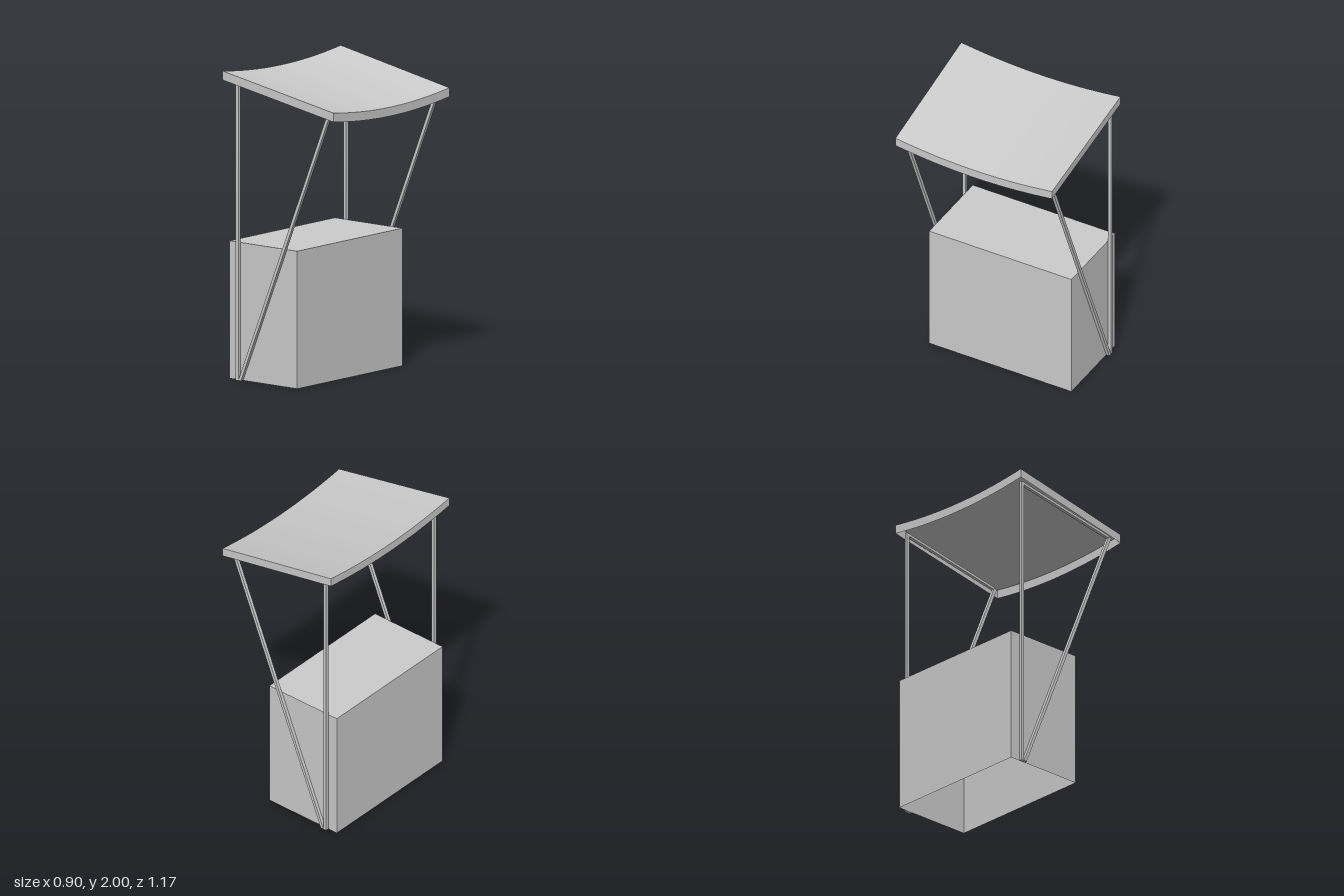
import * as THREE from 'three';
import { ParametricGeometry } from 'three/addons/geometries/ParametricGeometry.js';

const material = new THREE.MeshStandardMaterial({ color: 0xcccccc, side: THREE.DoubleSide });
const lerp = THREE.MathUtils.lerp;

function addMesh(parent, name, geometry) {
  const mesh = new THREE.Mesh(geometry, material);
  mesh.name = name;
  parent.add(mesh);
  return mesh;
}

// Point on the canopy: s runs back to front, t runs from the high edge to the low edge
function roofPoint(s, t, target) {
  const z = lerp(lerp(-0.58, -0.588, t), lerp(0.585, 0.557, t), s);
  const sag = 0.042 * (1 - (2 * s - 1) ** 2);
  return target.set(lerp(-0.445, 0.45, t), lerp(2, 1.832, t) - sag, z);
}

// Sagging sheet with a skirt on all four edges, open underneath
function createRoof() {
  const roof = new THREE.Group();
  roof.name = 'roof';
  addMesh(roof, 'roofSheet', new ParametricGeometry(roofPoint, 24, 4));
  const edges = {
    lowSkirt: u => [u, 1],
    frontSkirt: u => [1, 1 - u],
    highSkirt: u => [1 - u, 0],
    backSkirt: u => [0, u],
  };
  for (const [name, edge] of Object.entries(edges)) {
    addMesh(roof, name, new ParametricGeometry((u, v, target) => {
      roofPoint(...edge(u), target);
      target.y -= 0.058 * v;
    }, 24, 1));
  }
  return roof;
}

// Flat bar cut from a side outline, thickness along z
function bar(points) {
  const shape = new THREE.Shape(points.map(([x, y]) => new THREE.Vector2(x, y)));
  return new THREE.ExtrudeGeometry(shape, { depth: 0.022, bevelEnabled: false });
}

// Upright, sloping brace and top rail on one side of the counter
function createFrame(name, z) {
  const frame = new THREE.Group();
  frame.name = name;
  frame.position.z = z;
  addMesh(frame, 'post', bar([[-0.385, 0], [-0.363, 0], [-0.363, 1.95], [-0.385, 1.954]]));
  addMesh(frame, 'brace', bar([[-0.363, 0], [-0.341, 0], [0.396, 1.8], [0.374, 1.804]]));
  addMesh(frame, 'topRail', bar([[-0.363, 1.932], [0.374, 1.794], [0.374, 1.812], [-0.363, 1.95]]));
  return frame;
}

// Counter box without a floor
function createCounter() {
  const geometry = new THREE.BoxGeometry(0.562, 0.89, 1.04);
  const index = Array.from(geometry.index.array);
  index.splice(18, 6); // drop the underside
  geometry.setIndex(index);
  geometry.clearGroups();
  geometry.translate(-0.174, 0.445, -0.014);
  return geometry;
}

export function createModel() {
  const model = new THREE.Group();
  model.name = 'marketStall';
  addMesh(model, 'counter', createCounter());
  model.add(createFrame('frontFrame', 0.507));
  model.add(createFrame('backFrame', -0.557));
  model.add(createRoof());
  return model;
}
